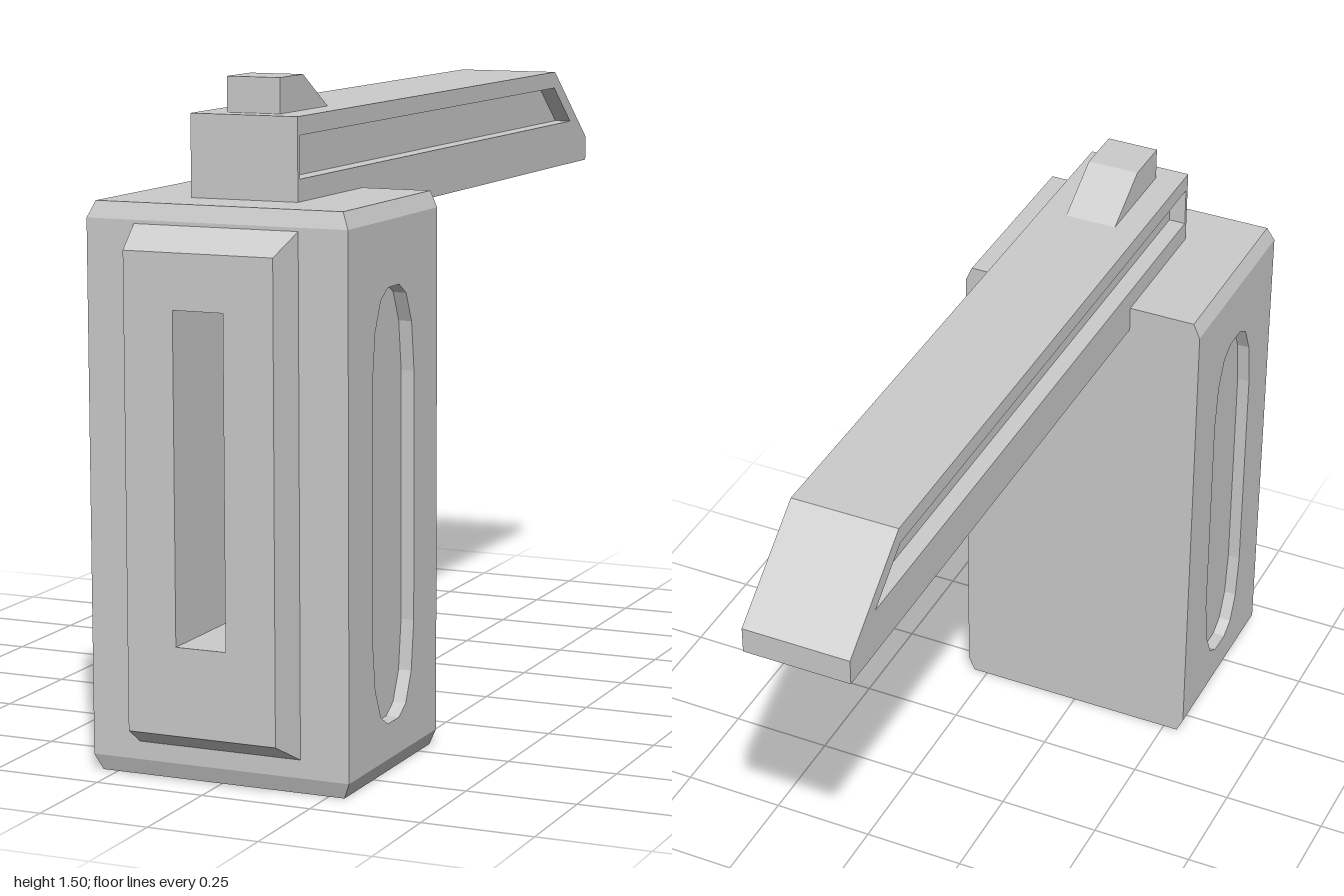
import * as THREE from 'three';
import { mergeGeometries } from 'three/addons/utils/BufferGeometryUtils.js';

const material = new THREE.MeshStandardMaterial({ color: 0xcccccc, flatShading: true });
const vectors = (pts) => pts.map(([x, y]) => new THREE.Vector2(x, y));
const rect = (x0, x1, y0, y1) => [[x0, y0], [x1, y0], [x1, y1], [x0, y1]];

// Flat-shaded geometry from four-cornered faces, corners counterclockwise from outside
function quads(list) {
  const pos = [];
  for (const [a, b, c, d] of list) pos.push(...a, ...b, ...c, ...a, ...c, ...d);
  const g = new THREE.BufferGeometry();
  g.setAttribute('position', new THREE.Float32BufferAttribute(pos, 3));
  g.computeVertexNormals();
  return g;
}

// Faces joining two four-cornered rings
function bridge(lower, upper, sides = [0, 1, 2, 3]) {
  return sides.map((k) => {
    const n = (k + 1) % 4;
    return [lower[k], lower[n], upper[n], upper[k]];
  });
}

function flat(points, hole) {
  const shape = new THREE.Shape(vectors(points));
  if (hole) shape.holes.push(new THREE.Path(vectors(hole)));
  const g = new THREE.ShapeGeometry(shape).toNonIndexed();
  g.deleteAttribute('uv');
  return g;
}

// Panel facing +z, with an opening that can be sunk to a floor
function panel(outline, hole, depth = 0) {
  const parts = [flat(outline, hole)];
  if (hole && depth) {
    const h = THREE.ShapeUtils.isClockWise(vectors(hole)) ? [...hole].reverse() : hole;
    parts.push(flat(h).translate(0, 0, -depth));
    parts.push(quads(h.map(([x, y], i) => {
      const [u, v] = h[(i + 1) % h.length];
      return [[x, y, 0], [u, v, 0], [u, v, -depth], [x, y, -depth]];
    })));
  }
  return mergeGeometries(parts);
}

// Mirrored side panels at x = +w and -w; points are [z, y]
function sidePanels(w, outline, hole, depth) {
  return [1, -1].map((s) => {
    const turn = (pts) => pts && pts.map(([z, y]) => [-s * z, y]);
    return panel(turn(outline), turn(hole), depth).rotateY(s * Math.PI / 2).translate(s * w, 0, 0);
  });
}

// Bar across x with a [z, y] profile, starting at the bottom front and running to the back
function bar(w, profile, hole, depth) {
  const rim = quads(profile.map(([z, y], i) => {
    const [z2, y2] = profile[(i + 1) % profile.length];
    return [[w, y, z], [-w, y, z], [-w, y2, z2], [w, y2, z2]];
  }));
  return mergeGeometries([rim, ...sidePanels(w, profile, hole, depth)]);
}

export function createModel() {
  const model = new THREE.Group();
  const add = (name, geometry) => {
    const mesh = new THREE.Mesh(geometry, material);
    mesh.name = name;
    model.add(mesh);
  };
  const W = 0.302, BACK = 0.437, FRONT = 0.915, TOP = 1.24;
  const LOW = 0.036, HIGH = 1.204;
  const frontSlot = rect(-0.058, 0.058, 0.315, 1.03);

  // Body: chamfered block with long rounded recesses in its sides
  const ring = (y, x, z) => [[-W + x, y, FRONT - z], [W - x, y, FRONT - z], [W - x, y, BACK], [-W + x, y, BACK]];
  const rings = [ring(0, 0.016, 0.012), ring(LOW, 0, 0), ring(HIGH, 0, 0), ring(TOP, 0.016, 0.012)];
  const quarter = [[0.112, 0.275], [0.098, 0.385], [0.068, 0.45], [0.03, 0.473]];
  const mirrored = quarter.map(([z, y]) => [-z, y]).reverse();
  const half = [...quarter, ...mirrored];
  const sideSlot = [...half, ...half.map(([z, y]) => [-z, -y])].map(([z, y]) => [z + 0.678, y + 0.588]);
  add('body', mergeGeometries([
    quads([
      ...bridge(rings[0], rings[1]),
      ...bridge(rings[1], rings[2], [2]),
      ...bridge(rings[2], rings[3]),
      rings[3],
      [...rings[0]].reverse(),
    ]),
    panel(rect(-W, W, LOW, HIGH), frontSlot).translate(0, 0, FRONT),
    ...sidePanels(W, rect(BACK, FRONT, LOW, HIGH), sideSlot, 0.03),
  ]));

  // Front plate: bevelled, with a deep slot running into the body
  const base = rect(-0.19, 0.19, 0.076, 1.196);
  const face = rect(-0.172, 0.172, 0.122, 1.15);
  const at = (pts, z) => pts.map(([x, y]) => [x, y, z]);
  add('frontPlate', mergeGeometries([
    quads(bridge(at(base, FRONT), at(face, 1))),
    panel(face, frontSlot, 0.3).translate(0, 0, 1),
  ]));

  // Long arm with a groove down each side and a sloping end
  add('arm', bar(0.125,
    [[0.775, 1.18], [-1, 1.18], [-1, 1.24], [-0.77, 1.42], [0.775, 1.42]],
    [[0.765, 1.288], [-0.883, 1.288], [-0.765, 1.38], [0.765, 1.38]], 0.04));

  // Small wedge on top of the arm
  add('topWedge', bar(0.062, [[0.727, 1.42], [0.482, 1.42], [0.61, 1.497], [0.727, 1.497]]));

  return model;
}
